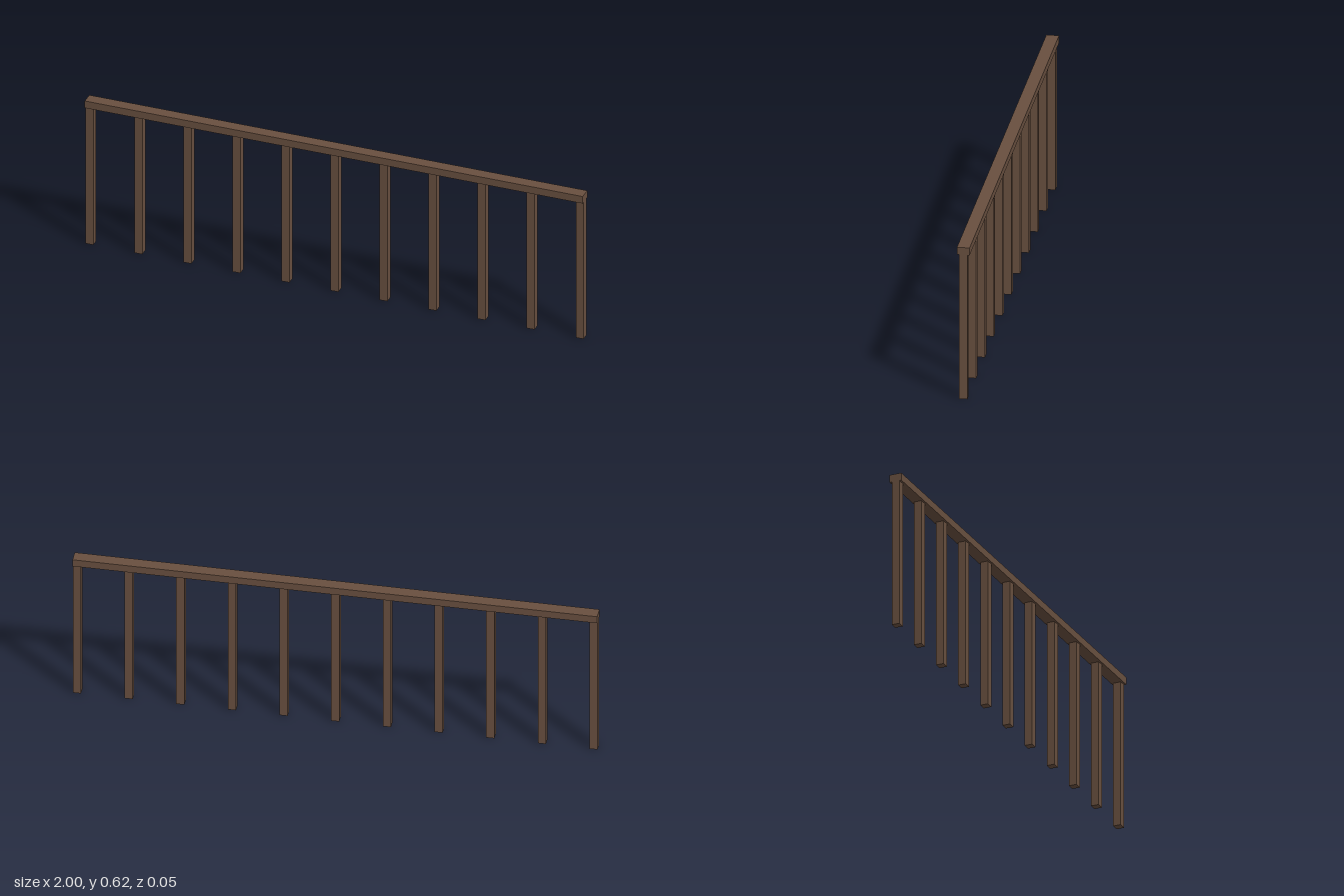
import * as THREE from 'three';

export function createModel() {
  const group = new THREE.Group();
  const wood = new THREE.MeshStandardMaterial({ color: 0x684f3f });
  wood.name = 'brown wood';

  const railBottom = 0.59, top = 0.62, postWidth = 0.031, postCount = 11;

  // Handrail along the full length
  const rail = new THREE.Mesh(new THREE.BoxGeometry(2, top - railBottom, 0.048), wood);
  rail.name = 'handrail';
  rail.position.y = (top + railBottom) / 2;
  group.add(rail);

  // Evenly spaced square posts, the end ones flush with the rail ends
  const postGeometry = new THREE.BoxGeometry(postWidth, railBottom, postWidth);
  const span = 2 - postWidth;
  for (let i = 0; i < postCount; i++) {
    const post = new THREE.Mesh(postGeometry, wood);
    post.name = `post${i + 1}`;
    post.position.set(-span / 2 + (span * i) / (postCount - 1), railBottom / 2, 0);
    group.add(post);
  }
  return group;
}
